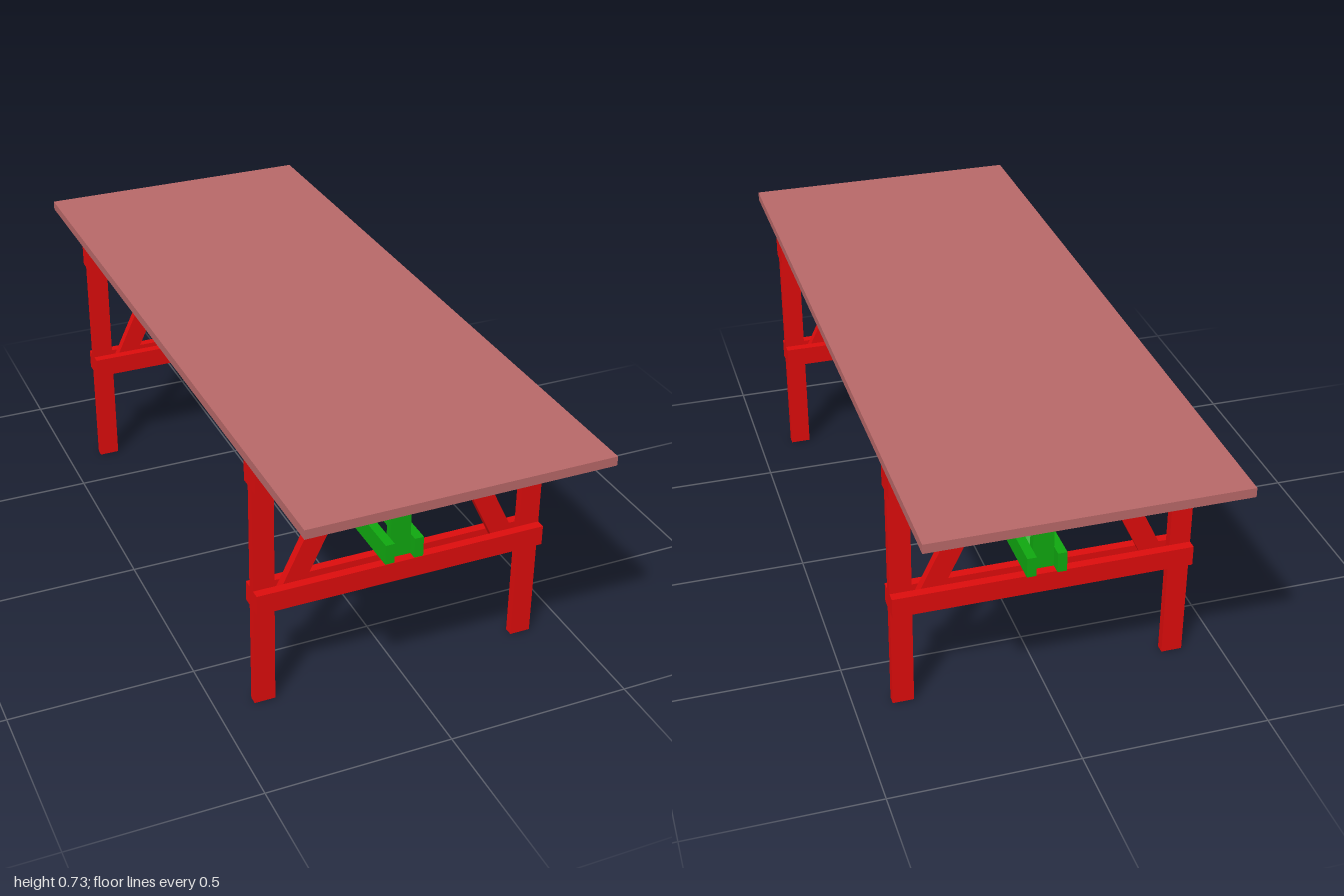
import * as THREE from 'three';

const red = new THREE.MeshStandardMaterial({ color: 0xdd0c0c });
const green = new THREE.MeshStandardMaterial({ color: 0x10a810 });
const rose = new THREE.MeshStandardMaterial({ color: 0xb86868 });

// Box given by its limits along each axis
function board(parent, name, material, [x0, x1], [y0, y1], [z0, z1]) {
  const mesh = new THREE.Mesh(new THREE.BoxGeometry(x1 - x0, y1 - y0, z1 - z0), material);
  mesh.position.set((x0 + x1) / 2, (y0 + y1) / 2, (z0 + z1) / 2);
  mesh.name = name;
  parent.add(mesh);
}

// Slanted board with level ends, lying in the xy plane and centred on z = 0
function slantedBoard(name, material, bottom, top, [y0, y1], halfWidth, depth) {
  const shape = new THREE.Shape([
    new THREE.Vector2(bottom - halfWidth, y0),
    new THREE.Vector2(bottom + halfWidth, y0),
    new THREE.Vector2(top + halfWidth, y1),
    new THREE.Vector2(top - halfWidth, y1),
  ]);
  const geometry = new THREE.ExtrudeGeometry(shape, { depth, bevelEnabled: false });
  geometry.translate(0, 0, -depth / 2);
  const mesh = new THREE.Mesh(geometry, material);
  mesh.name = name;
  return mesh;
}

const T = 0.012; // half the thickness of a board
const W = 0.028; // half the width of a board
const RAIL = 0.0365; // outer face of the paired frame rails

// Trestle: legs and braces held between paired rails
function trestle(z) {
  const group = new THREE.Group();
  group.name = 'trestle';
  group.position.z = z;
  for (const s of [-1, 1]) {
    board(group, 'leg', red, s > 0 ? [0.343, 0.4] : [-0.4, -0.343], [0, 0.702], [-T, T]);
    group.add(slantedBoard('trestleBrace', red, s * 0.316, s * 0.12, [0.294, 0.702], 0.031, 2 * T));
    const side = s > 0 ? [T, RAIL] : [-RAIL, -T];
    board(group, 'lowerRail', red, [-0.4, 0.4], [0.294, 0.35], side);
    board(group, 'upperRail', red, [-0.4, 0.4], [0.645, 0.702], side);
  }
  board(group, 'endPost', green, [-W, W], [0.294, 0.702], [-T, T]);
  return group;
}

export function createModel() {
  const table = new THREE.Group();
  table.name = 'trestleTable';

  board(table, 'tableTop', rose, [-0.4, 0.4], [0.702, 0.727], [-1, 1]);
  table.add(trestle(0.67), trestle(-0.655));

  // Long stretcher: paired beams with posts between them
  const stretcher = new THREE.Group();
  stretcher.name = 'stretcher';
  for (const side of [[W, 0.053], [-0.053, -W]]) {
    board(stretcher, 'lowerBeam', green, side, [0.351, 0.408], [-0.698, 0.706]);
    board(stretcher, 'upperBeam', green, side, [0.564, 0.619], [-0.698, 0.706]);
  }
  for (const z of [0.32, -0.004, -0.33]) {
    board(stretcher, 'middlePost', green, [-W, W], [0.351, 0.619], [z - T, z + T]);
  }
  // Single diagonal in the rear bay
  const brace = slantedBoard('stretcherBrace', green, 0.651, 0.342, [0.351, 0.619], 0.016, 2 * W);
  brace.rotation.y = Math.PI / 2;
  stretcher.add(brace);
  table.add(stretcher);
  return table;
}
